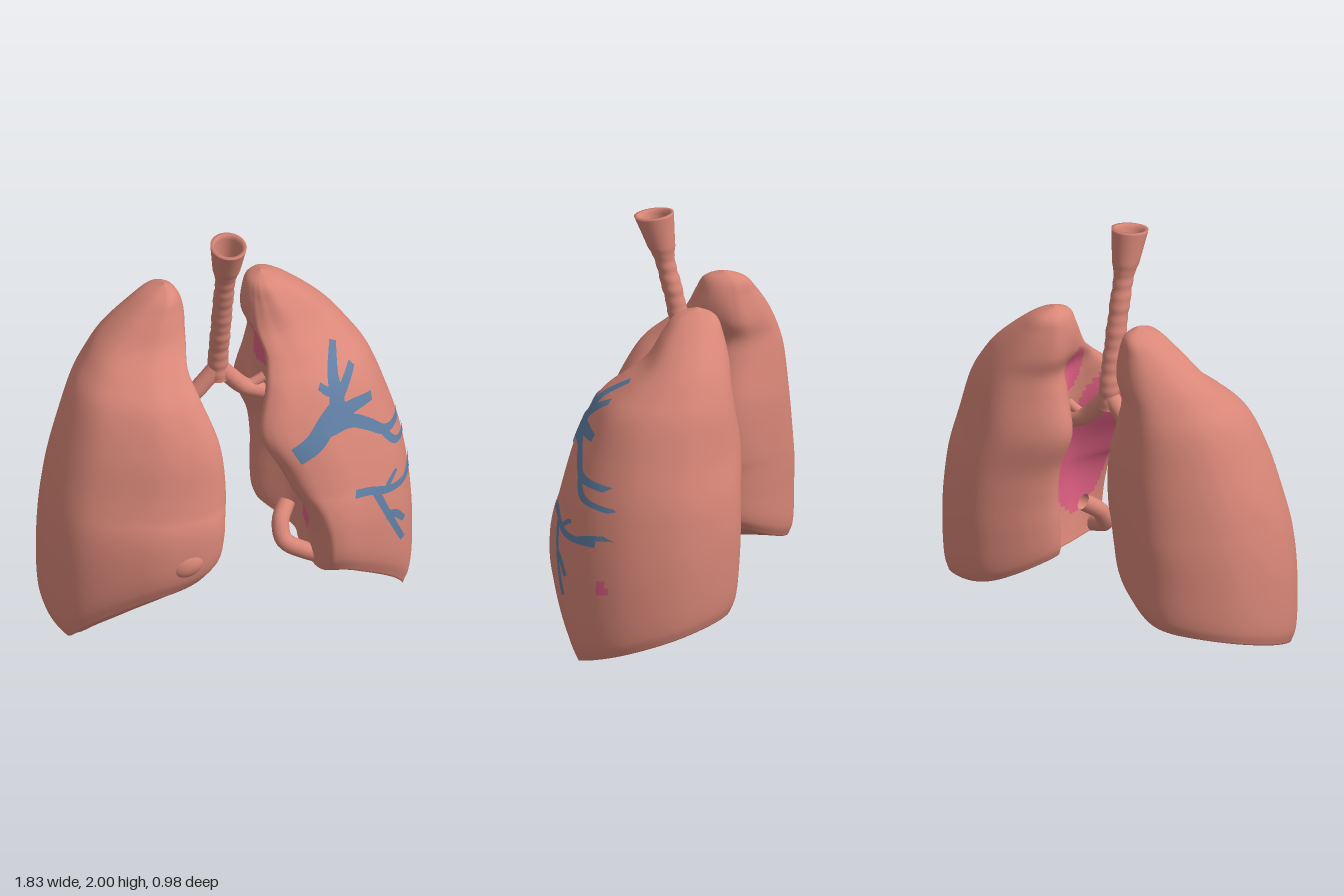
import * as THREE from 'three';

const mat = (name, color, side = THREE.FrontSide) => {
  const m = new THREE.MeshStandardMaterial({ color, side });
  m.name = name;
  return m;
};
const V = (x, y, z) => new THREE.Vector3(x, y, z);

// Horizontal lung outline: [medial 0 .. lateral 1, back 0 .. front 1]
const OUTLINE = [
  [0, 0.86], [0.05, 0.96], [0.22, 1], [0.5, 0.97], [0.87, 0.8], [1, 0.53], [0.91, 0.24],
  [0.67, 0.05], [0.42, 0], [0.12, 0.12], [0.02, 0.28], [0.08, 0.48], [0.07, 0.64],
];
// Levels: height, inner x, outer x, back z, front z, roundness, hilum dent, front notch
const RIGHT = [
  [0, 0.17, 0.89, -0.43, 0.43, 0, 0.12, 0], [0.07, 0.14, 0.908, -0.45, 0.46, 0, 0.13, 0],
  [0.35, 0.115, 0.914, -0.46, 0.47, 0, 0.15, 0], [0.6, 0.105, 0.895, -0.465, 0.45, 0, 0.15, 0],
  [0.8, 0.09, 0.86, -0.46, 0.4, 0, 0.13, 0], [1, 0.1, 0.8, -0.45, 0.35, 0.05, 0.1, 0],
  [1.2, 0.155, 0.72, -0.43, 0.25, 0.2, 0.05, 0], [1.3, 0.175, 0.65, -0.41, 0.14, 0.4, 0.03, 0],
  [1.4, 0.145, 0.57, -0.385, 0.02, 0.7, 0, 0], [1.52, 0.15, 0.44, -0.34, -0.05, 1, 0, 0],
  [1.6, 0.18, 0.33, -0.3, -0.1, 1, 0, 0], [1.64, 0.235, 0.235, -0.2, -0.2, 1, 0, 0],
];
const LEFT = [
  [0, 0.21, 0.885, -0.44, 0.42, 0, 0.12, 0.2], [0.07, 0.195, 0.903, -0.46, 0.45, 0, 0.14, 0.22],
  [0.35, 0.19, 0.91, -0.48, 0.46, 0, 0.17, 0.2], [0.6, 0.195, 0.893, -0.485, 0.44, 0, 0.17, 0.13],
  [0.8, 0.18, 0.863, -0.48, 0.4, 0, 0.15, 0.04], [1, 0.11, 0.805, -0.46, 0.35, 0.05, 0.13, 0],
  [1.2, 0.155, 0.73, -0.43, 0.25, 0.2, 0.06, 0], [1.3, 0.175, 0.66, -0.41, 0.14, 0.4, 0.03, 0],
  [1.4, 0.145, 0.575, -0.385, 0.02, 0.7, 0, 0], [1.52, 0.15, 0.44, -0.34, -0.05, 1, 0, 0],
  [1.59, 0.175, 0.34, -0.3, -0.1, 1, 0, 0], [1.63, 0.24, 0.24, -0.2, -0.2, 1, 0, 0],
];

// Closed-ring grid; faces chosen by pick() go to the second material group
function gridGeometry(rows, flip, pick = () => false) {
  const n = rows[0].length, pos = rows.flat().flatMap((p) => [p.x, p.y, p.z]), main = [], extra = [];
  for (let i = 0; i < rows.length - 1; i++) {
    for (let j = 0; j < n; j++) {
      const k = (j + 1) % n, a = i * n + j, b = i * n + k, c = a + n, d = b + n;
      const mid = rows[i][j].clone().add(rows[i + 1][k]).multiplyScalar(0.5);
      const list = pick(mid, j / n) ? extra : main;
      list.push(...(flip ? [a, d, b, a, c, d] : [a, b, d, a, d, c]));
    }
  }
  const g = new THREE.BufferGeometry();
  g.setAttribute('position', new THREE.Float32BufferAttribute(pos, 3));
  g.setIndex([...main, ...extra]);
  g.addGroup(0, main.length, 0);
  g.addGroup(main.length, extra.length, 1);
  g.computeVertexNormals();
  return g;
}

// Height of the slanted lower rim
function baseHeight(x, z) {
  const a = z < 0.22 ? 0.31 * (0.22 - z) : 1.3 * (z - 0.22);
  const b = Math.max(0, 0.56 * (0.82 - Math.abs(x)));
  return 0.003 + Math.pow(a ** 6 + b ** 6, 1 / 6);
}

function lungGeometry(levels, sign, dome, pick) {
  const N = 160, M = 76, CAP = 12;
  const rings = levels.map(([y, inner, outer, zb, zf, round, dent, notch]) => {
    const pts = OUTLINE.map(([px, pz], i) => {
      const ang = Math.atan2(pz - 0.5, px - 0.5);
      let m = px + (i >= 11 ? dent : 0) + (i < 2 ? notch : i === 2 ? notch / 2 : 0);
      m = THREE.MathUtils.lerp(m, 0.5 + 0.5 * Math.cos(ang), round);
      const q = THREE.MathUtils.lerp(pz, 0.5 + 0.5 * Math.sin(ang), round);
      return V(sign * (inner + m * (outer - inner)), y, zb + q * (zf - zb));
    });
    const curve = new THREE.CatmullRomCurve3(pts, true, 'catmullrom', 0.5);
    return Array.from({ length: N }, (_, j) => (levels.at(-1)[0] === y ? pts[0].clone() : curve.getPoint(j / N)));
  });
  const columns = Array.from({ length: N }, (_, j) => new THREE.CatmullRomCurve3(rings.map((r) => r[j])));
  const rows = [];
  for (let i = 0; i <= M; i++) {
    rows.push(columns.map((c) => {
      const p = c.getPoint(i / M), base = baseHeight(p.x, p.z);
      if (p.y < 0.7) p.y = base + (0.7 - base) * Math.max(0, p.y) / 0.7;
      return p;
    }));
  }
  // Underside
  const rim = rows[0], cap = [];
  for (let i = 0; i < CAP; i++) {
    const s = i / CAP;
    cap.push(rim.map((r) => {
      const x = THREE.MathUtils.lerp(sign * 0.55, r.x, s), z = r.z * s;
      return V(x, baseHeight(x, z) + dome * (1 - s * s), z);
    }));
  }
  return gridGeometry([...cap, ...rows], sign < 0, pick);
}

// Flat vessel laid on the front of a lung
function vesselGeometry(target, path, w0, w1) {
  const curve = new THREE.CatmullRomCurve3(path.map(([x, y]) => V(x, y, 0)));
  const ray = new THREE.Raycaster(), n = 24, across = 4, pos = [], idx = [];
  let last = V(path[0][0], path[0][1], 0.3);
  for (let i = 0; i <= n; i++) {
    const p = curve.getPoint(i / n), t = curve.getTangent(i / n);
    const w = THREE.MathUtils.lerp(w0, w1, i / n);
    for (let j = 0; j < across; j++) {
      const o = w * (j / (across - 1) - 0.5);
      ray.set(V(p.x - t.y * o, p.y + t.x * o, 2), V(0, 0, -1));
      const hit = ray.intersectObject(target)[0];
      if (hit) last = hit.point.clone().addScaledVector(hit.face.normal, 0.006);
      pos.push(last.x, last.y, last.z);
      if (i < n && j < across - 1) {
        const a = i * across + j, b = a + across;
        idx.push(a, b, a + 1, b, b + 1, a + 1);
      }
    }
  }
  const g = new THREE.BufferGeometry();
  g.setAttribute('position', new THREE.Float32BufferAttribute(pos, 3));
  g.setIndex(idx);
  g.computeVertexNormals();
  return g;
}

export function createModel() {
  const group = new THREE.Group();
  const tissue = mat('tissue', 0xd98778);
  const airway = mat('airway', 0xd98778, THREE.DoubleSide);
  const pink = mat('pinkHilum', 0xe06083);
  const blue = mat('blueVessel', 0x607fa4, THREE.DoubleSide);
  const add = (name, geo, material) => {
    const m = new THREE.Mesh(geo, material);
    m.name = name;
    group.add(m);
    return m;
  };
  const spot = (p, z, y, rz, ry) => ((p.z - z) / rz) ** 2 + ((p.y - y) / ry) ** 2 < 1;
  const medial = (u) => u > 9.3 / 13;

  // Lungs with pink patches on the inner faces
  add('rightLung', lungGeometry(RIGHT, -1, 0.02, (p, u) => medial(u) &&
    (spot(p, 0.05, 0.58, 0.26, 0.25) || spot(p, 0.22, 0.48, 0.12, 0.14) || spot(p, -0.02, 1.23, 0.16, 0.19))), [tissue, pink]);
  const left = add('leftLung', lungGeometry(LEFT, 1, 0.2, (p, u) =>
    (medial(u) && (spot(p, 0.16, 0.8, 0.2, 0.4) || spot(p, -0.1, 1.27, 0.08, 0.12))) ||
    (p.x > 0.8 && spot(p, 0.085, 0.405, 0.03, 0.038))), [tissue, pink]);

  // Nodule on the right lung and curled tip of the left lung
  const nodule = add('nodule', new THREE.SphereGeometry(1, 24, 16), tissue);
  nodule.scale.set(0.09, 0.065, 0.05);
  nodule.rotation.z = 0.4;
  nodule.position.set(-0.31, 0.46, 0.438);
  const tip = new THREE.CatmullRomCurve3([V(0.44, 0.28, 0.3), V(0.33, 0.31, 0.27), V(0.235, 0.355, 0.22), V(0.23, 0.43, 0.17), V(0.28, 0.49, 0.1)]);
  add('lungTip', new THREE.TubeGeometry(tip, 24, 0.042, 12), airway);

  // Blue vessels
  const vessels = [
    [[[0.25, 0.92], [0.34, 0.97], [0.42, 1.05], [0.49, 1.1]], 0.09, 0.11],
    [[[0.47, 1.05], [0.48, 1.14], [0.48, 1.23], [0.52, 1.33]], 0.1, 0.035],
    [[[0.48, 1.17], [0.44, 1.18], [0.4, 1.21]], 0.045, 0.03],
    [[[0.49, 1.14], [0.54, 1.19], [0.59, 1.24]], 0.055, 0.035],
    [[[0.48, 1.07], [0.57, 1.08], [0.67, 1.08]], 0.08, 0.04],
    [[[0.42, 1.02], [0.54, 1.02], [0.64, 0.965], [0.72, 0.905], [0.825, 0.885]], 0.07, 0.03],
    [[[0.7, 0.92], [0.78, 0.82], [0.86, 0.79]], 0.035, 0.022],
    [[[0.53, 0.68], [0.62, 0.66], [0.71, 0.625], [0.8, 0.615], [0.87, 0.62]], 0.04, 0.03],
    [[[0.64, 0.65], [0.675, 0.57], [0.72, 0.47], [0.79, 0.32]], 0.04, 0.028],
    [[[0.7, 0.5], [0.75, 0.48], [0.8, 0.42]], 0.045, 0.025],
    [[[0.7, 0.63], [0.74, 0.67], [0.77, 0.69]], 0.03, 0.02],
    [[[0.82, 0.615], [0.85, 0.64], [0.88, 0.66]], 0.03, 0.022],
  ];
  for (const [path, w0, w1] of vessels) add('vessel', vesselGeometry(left, path, w0, w1), blue);

  // Lightly ringed windpipe with a flared, hollow mouth
  const axis = new THREE.CatmullRomCurve3([V(0, 1.12, -0.1), V(0, 1.25, -0.095), V(0, 1.4, -0.06), V(0, 1.6, -0.015), V(0, 1.78, 0.032), V(0, 1.985, 0.08)]);
  const ring = (t, shrink) => {
    const c = axis.getPoint(t), flare = THREE.MathUtils.smoothstep(c.y, 1.76, 1.83);
    const grow = Math.max(0, c.y - 1.8);
    const ripple = 0.0015 * (Math.sin(c.y * 110) + Math.sin(c.y * 47)) * (1 - flare);
    const r = 0.048 + ripple + 0.014 * flare + 0.13 * grow - shrink;
    return Array.from({ length: 28 }, (_, j) => {
      const a = (j / 28) * Math.PI * 2;
      return V(c.x + r * Math.sin(a), c.y - 0.9 * grow * r * Math.cos(a), c.z + r * (1 + 0.6 * grow) * Math.cos(a));
    });
  };
  const rings = Array.from({ length: 91 }, (_, i) => ring(i / 90, 0));
  for (let i = 90; i > 68; i -= 2) rings.push(ring(i / 90, 0.016));
  rings.push(rings.at(-1).map(() => axis.getPoint(0.75)));
  add('windpipe', gridGeometry(rings, false), airway);

  // Bronchi forking into both lungs
  for (const s of [-1, 1]) {
    const main = new THREE.CatmullRomCurve3([V(0, 1.19, -0.1), V(s * 0.06, 1.12, -0.1), V(s * 0.13, 1.05, -0.1), V(s * 0.22, 1.01, -0.1)]);
    add('bronchus', new THREE.TubeGeometry(main, 24, 0.042, 14), airway);
    const fork = new THREE.CatmullRomCurve3([V(s * 0.12, 1.05, -0.1), V(s * 0.17, 1.06, -0.1), V(s * 0.23, 1.09, -0.1)]);
    add('bronchusBranch', new THREE.TubeGeometry(fork, 12, 0.024, 12), airway);
  }
  return group;
}
